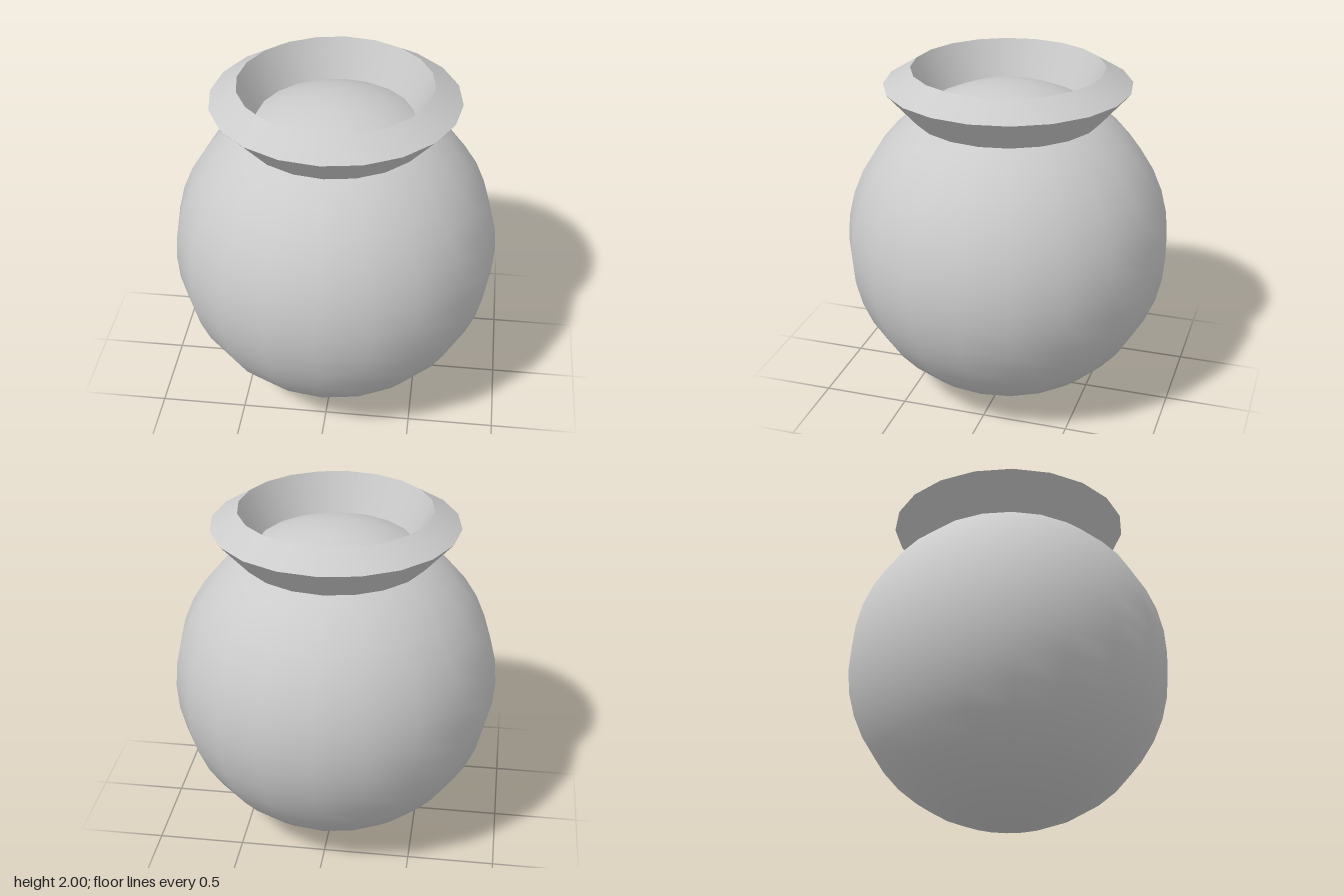
import * as THREE from 'three';

const SIDES = 20;

export function createModel() {
  const group = new THREE.Group();
  const material = new THREE.MeshStandardMaterial({ color: 0xcccccc });
  const add = (name, geometry, parent) => {
    const mesh = new THREE.Mesh(geometry, material);
    mesh.name = name;
    parent.add(mesh);
    return mesh;
  };

  // round body, its closed dome rising inside the collar
  const radius = 0.945;
  add('body', new THREE.SphereGeometry(radius, SIDES, SIDES), group).position.y = radius;

  // flared collar: one lathed band per profile edge keeps the rims sharp
  const collar = new THREE.Group();
  collar.name = 'collar';
  group.add(collar);
  const profile = [[0.51, 1.685], [0.705, 1.905], [0.55, 2], [0.425, 1.72]];
  const names = ['collarFlare', 'collarShoulder', 'collarInside'];
  names.forEach((name, i) => {
    const edge = [profile[i], profile[i + 1]].map(([x, y]) => new THREE.Vector2(x, y));
    add(name, new THREE.LatheGeometry(edge, SIDES), collar);
  });

  return group;
}
